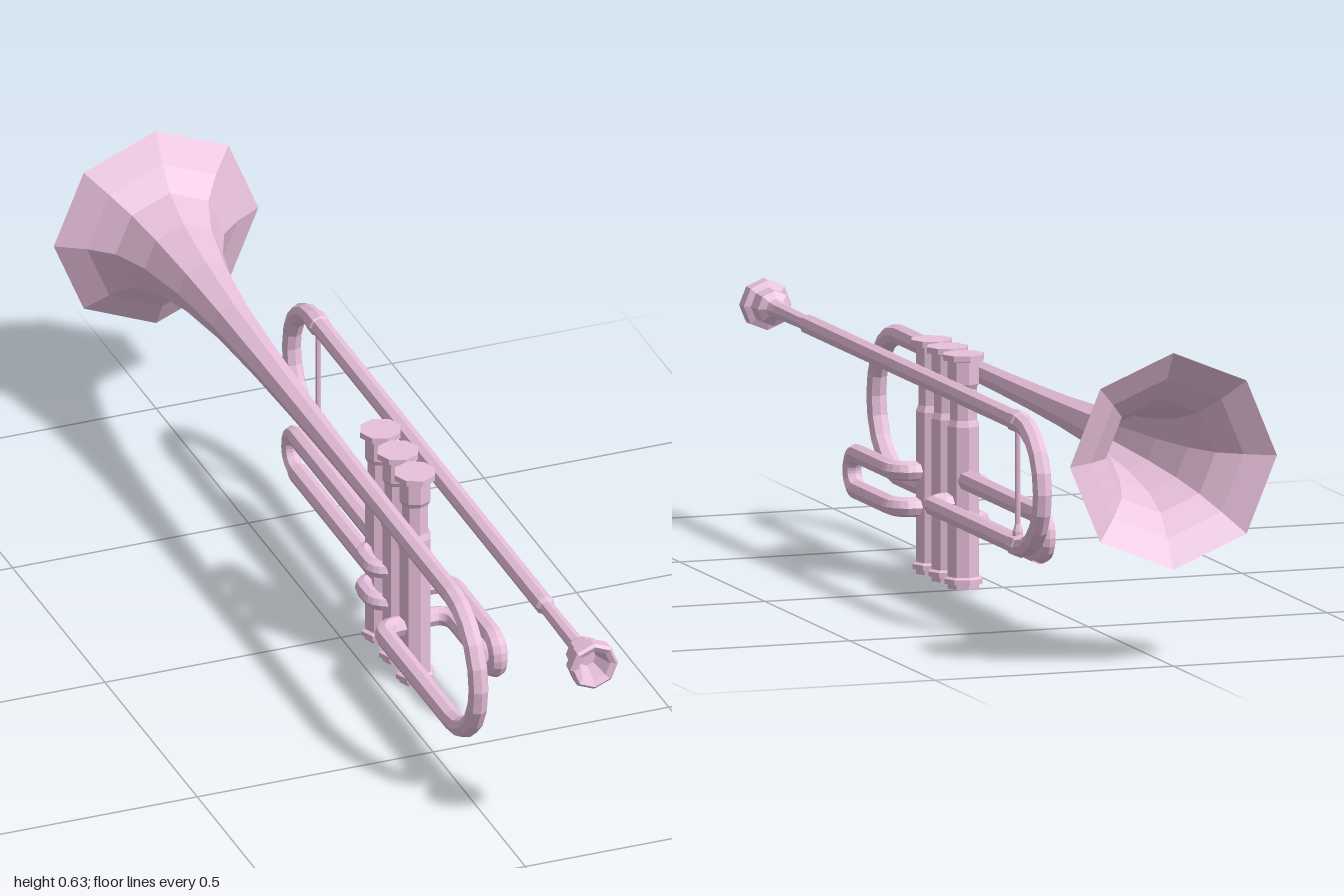
import * as THREE from 'three';

const SIDES = 8;
const brass = new THREE.MeshStandardMaterial({ color: 0xe8c0dc, flatShading: true, side: THREE.DoubleSide });
const V = (x, y, z) => new THREE.Vector3(x, y, z);

// Path through right-angled corners, each rounded by its own radius
function roundedPath(corners, radii, steps = 5) {
  const out = [corners[0]];
  for (let i = 1; i < corners.length - 1; i++) {
    const p = corners[i], r = radii[i - 1];
    const d1 = corners[i - 1].clone().sub(p).normalize();
    const d2 = corners[i + 1].clone().sub(p).normalize();
    const c = p.clone().addScaledVector(d1, r).addScaledVector(d2, r);
    for (let k = 0; k <= steps; k++) {
      const t = (k / steps) * Math.PI / 2;
      out.push(c.clone().addScaledVector(d2, -r * Math.cos(t)).addScaledVector(d1, -r * Math.sin(t)));
    }
  }
  out.push(corners[corners.length - 1]);
  return out.filter((p, i) => i === 0 || p.distanceTo(out[i - 1]) > 1e-4);
}

// Sweep an octagonal ring along a path
function tube(name, corners, radii, r) {
  const path = roundedPath(corners, radii);
  const pos = [], idx = [];
  let n = null;
  path.forEach((p, i) => {
    const t = V(0, 0, 0);
    if (i > 0) t.add(p.clone().sub(path[i - 1]).normalize());
    if (i < path.length - 1) t.add(path[i + 1].clone().sub(p).normalize());
    t.normalize();
    if (!n) n = Math.abs(t.y) < 0.9 ? V(0, 1, 0) : V(1, 0, 0);
    n.addScaledVector(t, -n.dot(t)).normalize();
    const b = t.clone().cross(n);
    for (let k = 0; k < SIDES; k++) {
      const a = (k / SIDES) * Math.PI * 2;
      const q = p.clone().addScaledVector(n, r * Math.cos(a)).addScaledVector(b, r * Math.sin(a));
      pos.push(q.x, q.y, q.z);
      if (i > 0) {
        const k2 = (k + 1) % SIDES, A = (i - 1) * SIDES, B = i * SIDES;
        idx.push(A + k, A + k2, B + k, A + k2, B + k2, B + k);
      }
    }
  });
  const g = new THREE.BufferGeometry();
  g.setAttribute('position', new THREE.Float32BufferAttribute(pos, 3));
  g.setIndex(idx);
  g.computeVertexNormals();
  return named(name, g);
}

function named(name, geometry) {
  const m = new THREE.Mesh(geometry, brass);
  m.name = name;
  return m;
}

// Turned part from [radius, height] pairs
function turned(name, profile, alongZ) {
  const g = new THREE.LatheGeometry(profile.map(([r, h]) => new THREE.Vector2(r, h)), SIDES);
  if (alongZ) g.rotateX(Math.PI / 2);
  return named(name, g);
}

export function createModel() {
  const model = new THREE.Group();
  model.name = 'trumpet';
  const valveX = 0.075, pipeX = 0.148, pipeY = 0.42, valveZ = [0.211, 0.118, 0.024];

  // Flared bell, open at the rear
  const bell = turned('bell', [
    [0.217, -1], [0.16, -0.965], [0.115, -0.925], [0.083, -0.85], [0.059, -0.73],
    [0.043, -0.58], [0.034, -0.4], [0.028, -0.2], [0.024, 0], [0.021, 0.25]], true);
  bell.position.y = 0.41;
  model.add(bell);

  // Tail of the bell, bending down and back into the front valve
  model.add(tube('bellBow', [
    V(0, 0.41, 0.25), V(0, 0.41, 0.7465), V(0, 0.1275, 0.7465),
    V(0, 0.1275, valveZ[0]), V(valveX, 0.1275, valveZ[0])], [0.1412, 0.1412, 0.035], 0.021));

  // Leadpipe with its rear bow, returning to the rear valve
  model.add(tube('leadpipe', [
    V(pipeX, pipeY, 0.72), V(pipeX, pipeY, -0.645), V(pipeX, 0.172, -0.645),
    V(pipeX, 0.172, valveZ[2]), V(valveX, 0.172, valveZ[2])], [0.124, 0.124, 0.035], 0.02));

  // Mouthpiece: shank, cup, rim and hollow
  const mouthpiece = turned('mouthpiece', [
    [0, 0.7], [0.02, 0.7], [0.02, 0.73], [0.015, 0.74], [0.017, 0.9], [0.021, 0.92], [0.035, 0.93],
    [0.037, 0.965], [0.05, 0.97], [0.051, 0.995], [0.045, 1], [0.034, 0.995],
    [0.019, 0.955], [0, 0.955]], true);
  mouthpiece.position.set(pipeX, pipeY, 0);
  model.add(mouthpiece);

  // Ferrules where the rear bow joins the straight pipes
  for (const y of [pipeY, 0.172]) {
    const ferrule = turned('ferrule', [[0.019, -0.525], [0.023, -0.52], [0.023, -0.49], [0.019, -0.485]], true);
    ferrule.position.set(pipeX, y, 0);
    model.add(ferrule);
  }

  // Brace inside the rear bow
  const brace = turned('brace', [[0.011, 0.18], [0.011, 0.2], [0.006, 0.215], [0.006, 0.42]]);
  brace.position.set(pipeX, 0, -0.5);
  model.add(brace);

  // Valves with caps
  for (const z of valveZ) {
    const valve = turned('valve', [
      [0, 0], [0.033, 0], [0.033, 0.009], [0.04, 0.01], [0.04, 0.02], [0.033, 0.024], [0.033, 0.325],
      [0.028, 0.338], [0.028, 0.4], [0.033, 0.41], [0.033, 0.455], [0.043, 0.457], [0.043, 0.469], [0, 0.469]]);
    valve.position.set(valveX, 0, z);
    model.add(valve);
  }

  // Short struts between the valves
  for (const y of [0.085, 0.27]) {
    model.add(tube('valveStrut', [V(valveX, y, valveZ[0]), V(valveX, y, valveZ[2])], [], 0.011));
  }

  // Front slide loop beside the valves
  model.add(tube('frontSlide', [
    V(valveX, 0.206, valveZ[0]), V(pipeX, 0.206, valveZ[0]), V(pipeX, 0.206, 0.475),
    V(pipeX, 0.134, 0.475), V(pipeX, 0.134, valveZ[0]), V(valveX, 0.134, valveZ[0])],
  [0.035, 0.036, 0.036, 0.035], 0.02));

  // Rear slide loop in line with the valves
  model.add(tube('rearSlide', [
    V(valveX, 0.218, valveZ[2]), V(valveX, 0.218, -0.468),
    V(valveX, 0.138, -0.468), V(valveX, 0.138, valveZ[2])], [0.04, 0.04], 0.018));
  for (const y of [0.218, 0.138]) {
    model.add(tube('rearSlideSleeve', [V(valveX, y, valveZ[2]), V(valveX, y, -0.425)], [], 0.021));
  }

  // Small crooks joining the middle and rear valves
  for (const y of [0.203, 0.13]) {
    model.add(tube('valveCrook', [
      V(valveX, y, valveZ[2]), V(0.03, y, valveZ[2]), V(0.03, y, valveZ[1]), V(valveX, y, valveZ[1])],
    [0.03, 0.03], 0.018));
  }
  return model;
}
